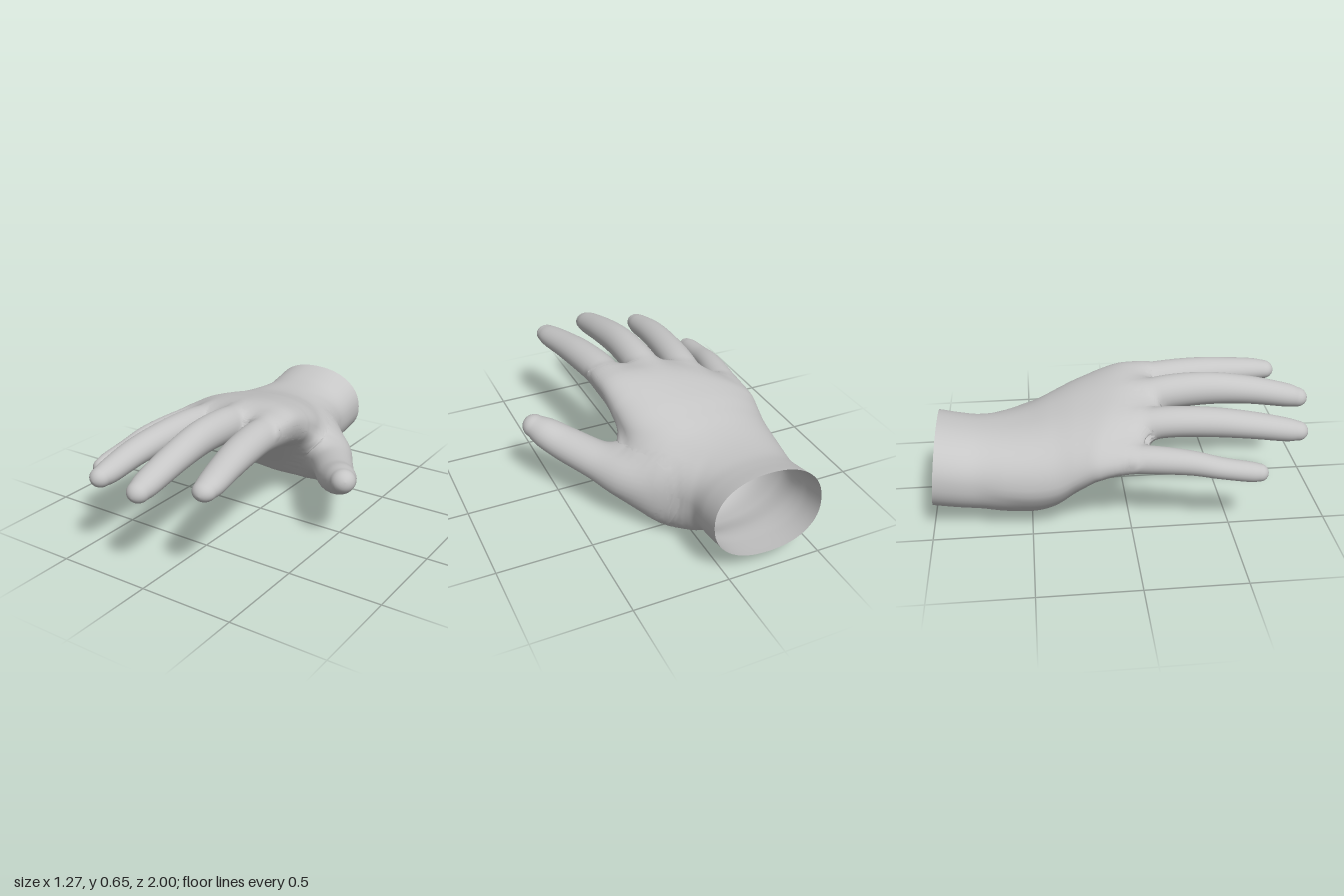
import * as THREE from 'three';

const { smoothstep, clamp } = THREE.MathUtils;
const V = (x, y, z) => new THREE.Vector3(x, y, z);
const bulge = (v, e) => Math.sign(v) * Math.abs(v) ** e;

// Smooth interpolation through a table of rows: two curves of three columns
const spline = (rows) => [0, 3].map((k) => new THREE.CatmullRomCurve3(
  rows.map((r) => V(r[k], r[k + 1], r[k + 2] ?? 0)), false, 'catmullrom'));

// Finger: oval sections along a curved path, ending in a rounded tip
// rows: x, y, z, half width, half height
function fingerSections(rows) {
  const [path, size] = spline(rows);
  const section = (t, ahead, scale) => {
    const s = size.getPoint(t), dir = path.getTangent(t);
    const c = path.getPoint(t).addScaledVector(dir, ahead * s.x);
    const side = V(0, 1, 0).cross(dir).normalize();
    const up = dir.clone().cross(side);
    return {
      w: s.x * scale, h: s.y * scale, e: 1,
      point: (u, v) => c.clone().addScaledVector(side, u).addScaledVector(up, v),
      local: (p) => [side, up, dir].map((axis) => p.dot(axis) - c.dot(axis)),
    };
  };
  const sections = [];
  for (let i = 0; i <= 50; i++) sections.push(section(i / 50, 0, 1));
  for (let i = 1; i <= 7; i++) {
    const a = (i / 7) * Math.PI / 2;
    sections.push(section(1, Math.sin(a), Math.max(Math.cos(a), 0.01)));
  }
  return sections;
}

// Palm and wrist: rounded sections from the open wrist to the finger webs
// rows: z, left x, right x, bottom y, top y, sideways tilt
function palmSections(rows) {
  const [outline, heights] = spline(rows);
  return Array.from({ length: 121 }, (_, i) => {
    const o = outline.getPoint(i / 120), g = heights.getPoint(i / 120);
    const cx = (o.y + o.z) / 2, cy = (g.x + g.y) / 2;
    const w = (o.z - o.y) / 2, h = Math.max((g.y - g.x) / 2, 0.002);
    const front = smoothstep(o.x, -0.4, 0.12);
    const wristCut = 0.11 * (1 - smoothstep(o.x, -0.975, -0.7));
    // the heel of the hand is squarer and hangs lowest toward the thumb
    const heel = smoothstep(o.x, -0.8, -0.5) * (1 - smoothstep(o.x, -0.4, 0));
    const lean = (v) => 0.11 * heel * Math.max(0, -v / h);
    // the webs step back toward the little finger; the wrist cut slopes
    const depth = (x, y) => o.x - front * 0.5 * Math.max(0, -0.22 - x) + wristCut * (y - 0.315);
    return {
      w, h, e: 0.9 - 0.08 * heel,
      point: (u, v) => {
        const x = cx + u + lean(v), y = cy + v + g.z * (x - cx);
        return V(x, y, depth(x, y));
      },
      local: (p) => {
        const v = p.y - cy - g.z * (p.x - cx);
        return [p.x - cx - lean(v), v, p.z - depth(p.x, p.y)];
      },
    };
  });
}

// Approximate signed distance from a point to a body made of sections
function distance(sections, p) {
  let best = Infinity, result = 0;
  for (const { w, h, e, local } of sections) {
    const [u, v, n] = local(p);
    const score = n * n + 0.02 * (u * u + v * v);
    if (score >= best) continue;
    best = score;
    const k = 2 / e, a = Math.abs(u / w) + 1e-6, b = Math.abs(v / h) + 1e-6;
    const q = (a ** k + b ** k) ** (1 / k);
    const d = (q - 1) / Math.hypot((a / q) ** (k - 1) / w, (b / q) ** (k - 1) / h);
    result = Math.abs(n) > 0.012 ? Math.hypot(Math.max(d, 0), n) : d;
  }
  return result;
}

function smoothMin(a, b, k) {
  const h = Math.max(k - Math.abs(a - b), 0) / k;
  return Math.min(a, b) - h * h * k / 4;
}

// Skin a body, fillet it into its neighbours and leave out the buried faces
// neighbours: list of [sections, fillet size]
function skin(sections, sides, neighbours) {
  const points = sections.flatMap((s) => Array.from({ length: sides }, (_, j) => {
    const a = (j / sides) * Math.PI * 2;
    return s.point(s.w * bulge(Math.cos(a), s.e), s.h * bulge(Math.sin(a), s.e));
  }));
  const buried = points.map((p) => {
    let depth = Infinity;
    for (const [other, k] of neighbours) {
      const d = distance(other, p);
      depth = Math.min(depth, d);
      if (d > k || d < -0.08) continue;
      const field = (q) => smoothMin(distance(sections, q), distance(other, q), k);
      for (let i = 0; i < 3; i++) {
        const f = field(p);
        const [sx, sy, sz] = [V(0.02, 0, 0), V(0, 0.02, 0), V(0, 0, 0.02)]
          .map((step) => field(p.clone().add(step)) - field(p.clone().sub(step)));
        p.addScaledVector(V(sx, sy, sz).normalize(), clamp(-f, -0.03, 0.03));
      }
    }
    return depth < -0.015;
  });
  const index = [];
  const face = (...abc) => { if (!abc.every((i) => buried[i])) index.push(...abc); };
  for (let i = 0; i < sections.length - 1; i++) {
    for (let j = 0; j < sides; j++) {
      const a = i * sides + j, b = i * sides + (j + 1) % sides;
      face(a, b, a + sides);
      face(b, b + sides, a + sides);
    }
  }
  const geo = new THREE.BufferGeometry().setFromPoints(points);
  geo.setIndex(index);
  geo.computeVertexNormals();
  return geo;
}

const PALM = [
  [-0.975, -0.50, 0.08, 0.10, 0.53, 0], [-0.86, -0.50, 0.08, 0.08, 0.505, 0],
  [-0.75, -0.50, 0.08, 0.06, 0.49, 0], [-0.62, -0.525, 0.11, 0.015, 0.49, 0],
  [-0.50, -0.545, 0.15, 0.00, 0.505, 0.02], [-0.38, -0.56, 0.19, 0.05, 0.535, 0.07],
  [-0.25, -0.57, 0.21, 0.17, 0.57, 0.12], [-0.10, -0.58, 0.22, 0.28, 0.60, 0.17],
  [0.00, -0.585, 0.225, 0.335, 0.605, 0.20], [0.09, -0.58, 0.225, 0.375, 0.59, 0.20],
  [0.14, -0.565, 0.22, 0.405, 0.57, 0.20], [0.17, -0.55, 0.21, 0.44, 0.54, 0.20],
  [0.185, -0.53, 0.20, 0.485, 0.495, 0.20],
];

const FINGERS = {
  thumb: [
    [-0.02, 0.24, -0.60, 0.11, 0.15], [0.10, 0.235, -0.47, 0.135, 0.17],
    [0.23, 0.25, -0.34, 0.13, 0.135], [0.335, 0.275, -0.20, 0.11, 0.098],
    [0.45, 0.305, -0.03, 0.098, 0.088], [0.525, 0.34, 0.06, 0.085, 0.08],
    [0.57, 0.363, 0.115, 0.065, 0.062],
  ],
  indexFinger: [
    [0.115, 0.48, -0.10, 0.08, 0.08], [0.13, 0.52, 0.08, 0.09, 0.09],
    [0.145, 0.54, 0.25, 0.092, 0.085], [0.175, 0.54, 0.44, 0.088, 0.08],
    [0.205, 0.53, 0.60, 0.08, 0.07], [0.235, 0.515, 0.75, 0.071, 0.06],
    [0.245, 0.507, 0.82, 0.06, 0.05],
  ],
  middleFinger: [
    [-0.09, 0.48, -0.10, 0.08, 0.08], [-0.085, 0.525, 0.08, 0.09, 0.092],
    [-0.076, 0.555, 0.25, 0.09, 0.09], [-0.067, 0.56, 0.45, 0.085, 0.085],
    [-0.055, 0.535, 0.66, 0.08, 0.074], [-0.047, 0.49, 0.87, 0.07, 0.063],
    [-0.045, 0.472, 0.94, 0.058, 0.052],
  ],
  ringFinger: [
    [-0.28, 0.45, -0.12, 0.075, 0.075], [-0.30, 0.485, 0.05, 0.085, 0.082],
    [-0.315, 0.505, 0.22, 0.085, 0.078], [-0.33, 0.50, 0.42, 0.081, 0.075],
    [-0.345, 0.48, 0.62, 0.077, 0.068], [-0.35, 0.447, 0.80, 0.066, 0.06],
    [-0.352, 0.437, 0.865, 0.055, 0.05],
  ],
  littleFinger: [
    [-0.47, 0.39, -0.18, 0.06, 0.06], [-0.50, 0.41, -0.02, 0.076, 0.07],
    [-0.528, 0.41, 0.14, 0.073, 0.067], [-0.553, 0.40, 0.29, 0.064, 0.06],
    [-0.57, 0.373, 0.43, 0.058, 0.053], [-0.58, 0.35, 0.57, 0.053, 0.05],
    [-0.58, 0.342, 0.62, 0.046, 0.044],
  ],
};

export function createModel() {
  const hand = new THREE.Group();
  hand.name = 'hand';
  const grey = new THREE.MeshStandardMaterial({ color: 0xc6c6c6, side: THREE.DoubleSide });
  grey.name = 'light grey';
  const add = (name, geometry) => {
    const mesh = new THREE.Mesh(geometry, grey);
    mesh.name = name;
    hand.add(mesh);
  };

  const palm = palmSections(PALM);
  const roots = [];
  for (const [name, rows] of Object.entries(FINGERS)) {
    const finger = fingerSections(rows), fillet = name === 'thumb' ? 0.1 : 0.05;
    add(name, skin(finger, 28, [[palm, fillet]]));
    roots.push([finger, fillet]);
  }
  add('palmAndWrist', skin(palm, 64, roots));
  return hand;
}
